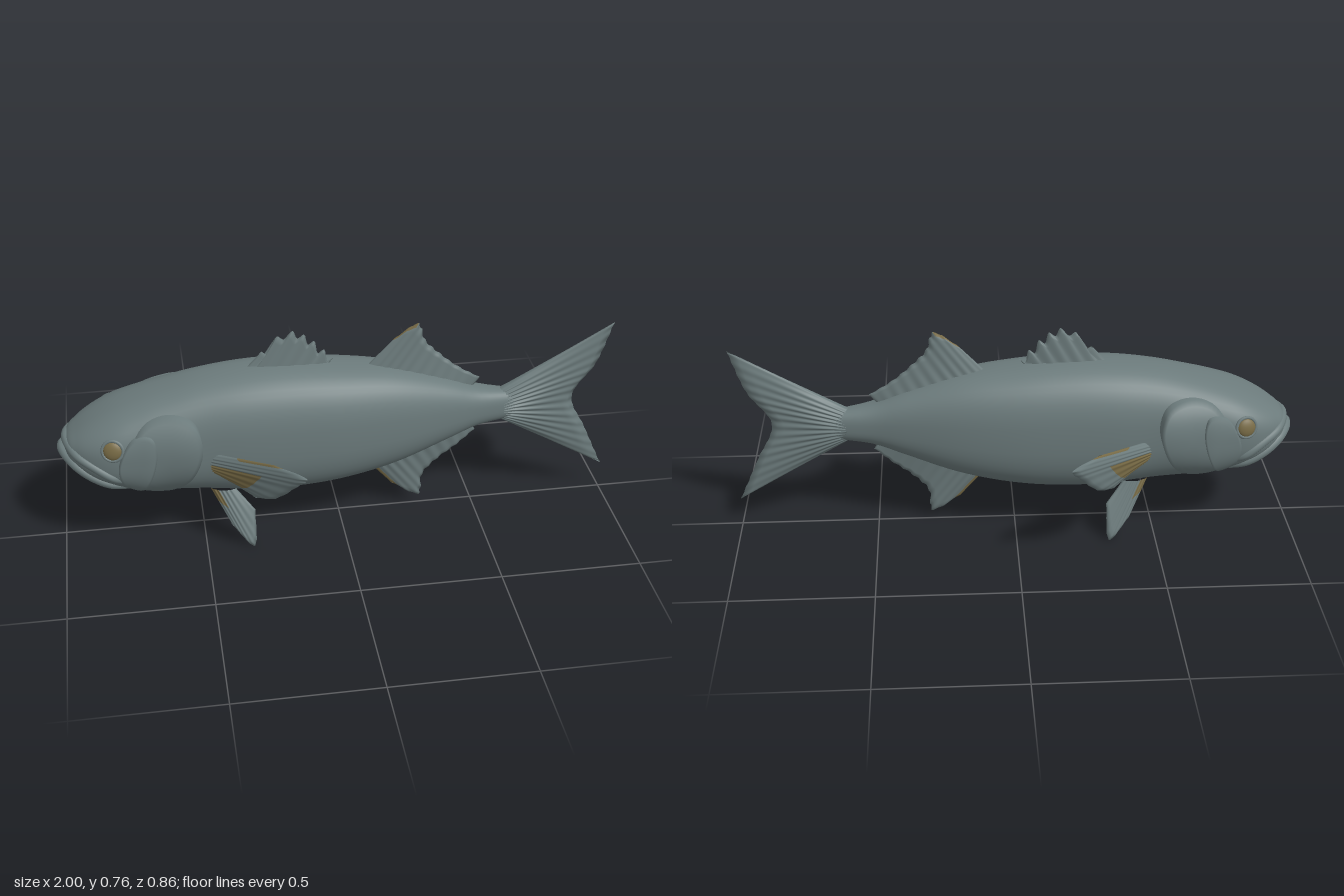
import * as THREE from 'three';
import { mergeVertices } from 'three/addons/utils/BufferGeometryUtils.js';

const V = (x, y, z = 0) => new THREE.Vector3(x, y, z);
const { smoothstep } = THREE.MathUtils;

// Body stations: x, top, bottom, half width
const stations = [
  [-0.978, 0.402, 0.372, 0.005], [-0.962, 0.43, 0.345, 0.07], [-0.93, 0.457, 0.31, 0.114],
  [-0.88, 0.49, 0.272, 0.15], [-0.8, 0.53, 0.238, 0.175], [-0.7, 0.565, 0.212, 0.177],
  [-0.6, 0.592, 0.2, 0.172], [-0.5, 0.615, 0.19, 0.17], [-0.35, 0.634, 0.172, 0.177],
  [-0.2, 0.638, 0.164, 0.177], [0, 0.624, 0.179, 0.168], [0.2, 0.593, 0.222, 0.14],
  [0.4, 0.528, 0.295, 0.093], [0.5, 0.486, 0.332, 0.066], [0.6, 0.465, 0.347, 0.046],
  [0.7, 0.45, 0.36, 0.026], [0.8, 0.42, 0.395, 0.004],
];
const spline = new THREE.CubicInterpolant(
  stations.map(s => s[0]), stations.flatMap(s => s.slice(1)), 3, new Float32Array(3));
const ROUND = 2.6;

function section(x) {
  const [top, bottom, width] = spline.evaluate(x);
  return { mid: (top + bottom) / 2, half: (top - bottom) / 2, width };
}

// Half width of the body's skin at a given x and y
function skin(x, y) {
  const { mid, half, width } = section(x);
  const d = Math.min(1, Math.abs((y - mid) / half));
  return width * (1 - d ** ROUND) ** (1 / ROUND);
}

// Surface from f(u, v), with material 1 wherever paint(u, v) is true
function grid(f, nu, nv, paint) {
  const pos = [], idx = [[], []];
  for (let i = 0; i <= nu; i++)
    for (let j = 0; j <= nv; j++) pos.push(...f(i / nu, j / nv).toArray());
  for (let i = 0; i < nu; i++)
    for (let j = 0; j < nv; j++) {
      const a = i * (nv + 1) + j, b = a + nv + 1;
      const m = paint && paint((i + 0.5) / nu, (j + 0.5) / nv) ? 1 : 0;
      idx[m].push(a, b, a + 1, b, b + 1, a + 1);
    }
  const g = new THREE.BufferGeometry();
  g.setAttribute('position', new THREE.Float32BufferAttribute(pos, 3));
  g.setIndex([...idx[0], ...idx[1]]);
  g.addGroup(0, idx[0].length, 0);
  if (idx[1].length) g.addGroup(idx[0].length, idx[1].length, 1);
  const merged = mergeVertices(g, 1e-5);
  merged.computeVertexNormals();
  return merged;
}

// Ribbed fin between a root line and an outer edge, lens-shaped in thickness
function finGeometry(root, edge, thick, rays, scallop, paint) {
  const r = new THREE.CatmullRomCurve3(root), e = new THREE.CatmullRomCurve3(edge);
  const along = root.at(-1).clone().sub(root[0]);
  const normal = along.cross(e.getPoint(0.5).sub(r.getPoint(0.5))).normalize();
  const out = v => 1 - Math.abs(1 - 2 * v);
  return grid((u, v) => {
    const w = out(v), ray = Math.sin(Math.PI * u * rays) ** 2;
    const p = r.getPoint(u).lerp(e.getPoint(u), w * (1 - scallop * ray));
    const t = thick * Math.sqrt(Math.max(0, Math.sin(Math.PI * u)))
      * (1 - 0.7 * w) * (1.05 - 0.14 * ray);
    return p.addScaledVector(normal, v < 0.5 ? t : v > 0.5 ? -t : 0);
  }, rays * 8, 24, paint && ((u, v) => paint(u, out(v))));
}

// Raised plate lying on the side of the head; lift(x, y) is its height above the skin
function plateGeometry(outline, cx, cy, side, lift) {
  const curve = new THREE.CatmullRomCurve3(outline.map(p => V(...p)), true);
  return grid((u, v) => {
    const p = curve.getPoint((side > 0 ? 1 - u : u) % 1);
    const k = Math.min(1, v / 0.9);
    const x = cx + (p.x - cx) * k, y = cy + (p.y - cy) * k;
    const z = skin(x, y) + (v > 0.95 ? -0.03 : lift(x, y));
    return V(x, y, side * z);
  }, 48, 10);
}

export function createModel() {
  const fish = new THREE.Group();
  fish.name = 'fish';
  const grey = new THREE.MeshStandardMaterial({ color: 0x6c7b7c });
  grey.name = 'slate grey skin';
  const olive = new THREE.MeshStandardMaterial({ color: 0x776a45 });
  olive.name = 'olive markings';
  const add = (name, geometry, material = grey) => {
    const mesh = new THREE.Mesh(geometry, material);
    mesh.name = name;
    fish.add(mesh);
    return mesh;
  };
  const addFin = (name, ...args) => add(name, finGeometry(...args), [grey, olive]);

  // Body: rounded-box cross-sections from snout to tail root
  add('body', grid((u, v) => {
    const x = -0.978 + 1.778 * u ** 1.5, a = v * Math.PI * 2;
    const { mid, half, width } = section(x);
    const bulge = c => Math.sign(c) * Math.abs(c) ** (2 / ROUND);
    return V(x, mid + half * bulge(Math.cos(a)), -width * bulge(Math.sin(a)));
  }, 72, 48));

  // Lips wrapping round the snout
  const lip = (name, points, front, radius) => {
    const side = s => points.map(([x, y], i) => V(x, y, s * (skin(x, y) - (i ? 0.008 : 0.025))));
    const path = new THREE.CatmullRomCurve3([...side(1), front, ...side(-1).reverse()]);
    add(name, new THREE.TubeGeometry(path, 60, radius, 10));
  };
  lip('upperLip', [[-0.77, 0.30], [-0.81, 0.325], [-0.87, 0.365], [-0.93, 0.397]], V(-0.965, 0.415), 0.017);
  lip('lowerJaw', [[-0.76, 0.27], [-0.82, 0.285], [-0.89, 0.32], [-0.945, 0.355]], V(-0.981, 0.374), 0.019);

  // Tail fin
  addFin('tailFin',
    [V(0.58, 0.46), V(0.59, 0.435), V(0.6, 0.405), V(0.59, 0.375), V(0.58, 0.35)],
    [V(1, 0.702), V(0.945, 0.54), V(0.865, 0.41), V(0.925, 0.27), V(1, 0.105)], 0.046, 14, 0.008);

  // Spiny front dorsal fin with a saw-toothed edge
  const spines = [[-0.27, 0.69], [-0.215, 0.745], [-0.16, 0.762], [-0.12, 0.745], [-0.085, 0.717],
    [-0.05, 0.68], [-0.018, 0.645]];
  const root = [], edge = [];
  spines.forEach(([x, y], i) => {
    const rx = -0.34 + 0.05 * i;
    root.push(V(rx, 0.615));
    edge.push(V(x, y));
    if (i < spines.length - 1) {
      const [nx, ny] = spines[i + 1];
      root.push(V(rx + 0.025, 0.615));
      edge.push(V((x + nx) / 2 - 0.004, Math.min(y, ny) - 0.014));
    }
  });
  addFin('spinyDorsalFin', root, edge, 0.022, 6, 0);

  // Soft dorsal and anal fins
  addFin('softDorsalFin',
    [V(0.09, 0.59), V(0.15, 0.58), V(0.22, 0.565), V(0.31, 0.54), V(0.4, 0.505), V(0.48, 0.475)],
    [V(0.2, 0.705), V(0.285, 0.757), V(0.31, 0.69), V(0.365, 0.63), V(0.435, 0.57), V(0.515, 0.52)],
    0.026, 10, 0.04, (u, w) => u < 0.2 && w > 0.88);
  addFin('analFin',
    [V(0.09, 0.22), V(0.15, 0.235), V(0.22, 0.255), V(0.31, 0.285), V(0.4, 0.32), V(0.48, 0.345)],
    [V(0.2, 0.095), V(0.305, 0.033), V(0.315, 0.12), V(0.37, 0.185), V(0.44, 0.24), V(0.505, 0.3)],
    0.026, 10, 0.04, (u, w) => u < 0.05 && w > 0.25);

  for (const s of [1, -1]) {
    const side = s > 0 ? 'left' : 'right';
    const P = (x, y, z) => V(x, y, s * z);

    // Paired fins
    addFin(side + 'PectoralFin',
      [P(-0.47, 0.385, 0.15), P(-0.467, 0.365, 0.15), P(-0.463, 0.345, 0.15), P(-0.46, 0.325, 0.15), P(-0.455, 0.305, 0.15)],
      [P(-0.27, 0.437, 0.335), P(-0.17, 0.43, 0.43), P(-0.2, 0.385, 0.4), P(-0.27, 0.3, 0.335), P(-0.33, 0.27, 0.275)],
      0.021, 8, 0.01, (u, w) => (u > 0.42 && u < 0.9 && w < 0.6) || (u < 0.06 && w > 0.4));
    addFin(side + 'PelvicFin',
      [P(-0.475, 0.205, 0.09), P(-0.43, 0.2, 0.1), P(-0.385, 0.205, 0.11)],
      [P(-0.405, 0.075, 0.155), P(-0.333, 0.001, 0.188), P(-0.322, 0.13, 0.145)],
      0.022, 6, 0.015, (u, w) => u < 0.35 && w < 0.3);

    // Gill cover, flaring toward its rear edge, and the cheek in front of it
    add(side + 'GillCover', plateGeometry(
      [[-0.5, 0.45], [-0.525, 0.52], [-0.6, 0.545], [-0.69, 0.52], [-0.74, 0.45], [-0.75, 0.35],
        [-0.72, 0.265], [-0.65, 0.232], [-0.58, 0.265], [-0.525, 0.35]],
      -0.62, 0.39, s,
      (x, y) => 0.008 + 0.044 * smoothstep(x, -0.75, -0.5) * (1 - 0.8 * Math.min(1, ((y - 0.42) / 0.16) ** 2))));
    add(side + 'Cheek', plateGeometry(
      [[-0.655, 0.43], [-0.67, 0.485], [-0.73, 0.48], [-0.77, 0.43], [-0.79, 0.36],
        [-0.77, 0.29], [-0.72, 0.26], [-0.685, 0.31]],
      -0.72, 0.38, s, x => 0.007 + 0.018 * smoothstep(x, -0.79, -0.65)));

    // Eye and its socket rim
    const eye = add(side + 'Eye', new THREE.SphereGeometry(0.033, 24, 16), olive);
    eye.position.set(-0.805, 0.44, s * skin(-0.805, 0.44));
    eye.scale.z = 0.4;
    const rim = add(side + 'EyeRim', new THREE.TorusGeometry(0.036, 0.006, 8, 28));
    rim.position.copy(eye.position);
    eye.rotation.set(-0.25 * s, -0.2 * s, 0);
    rim.rotation.copy(eye.rotation);
  }
  return fish;
}
